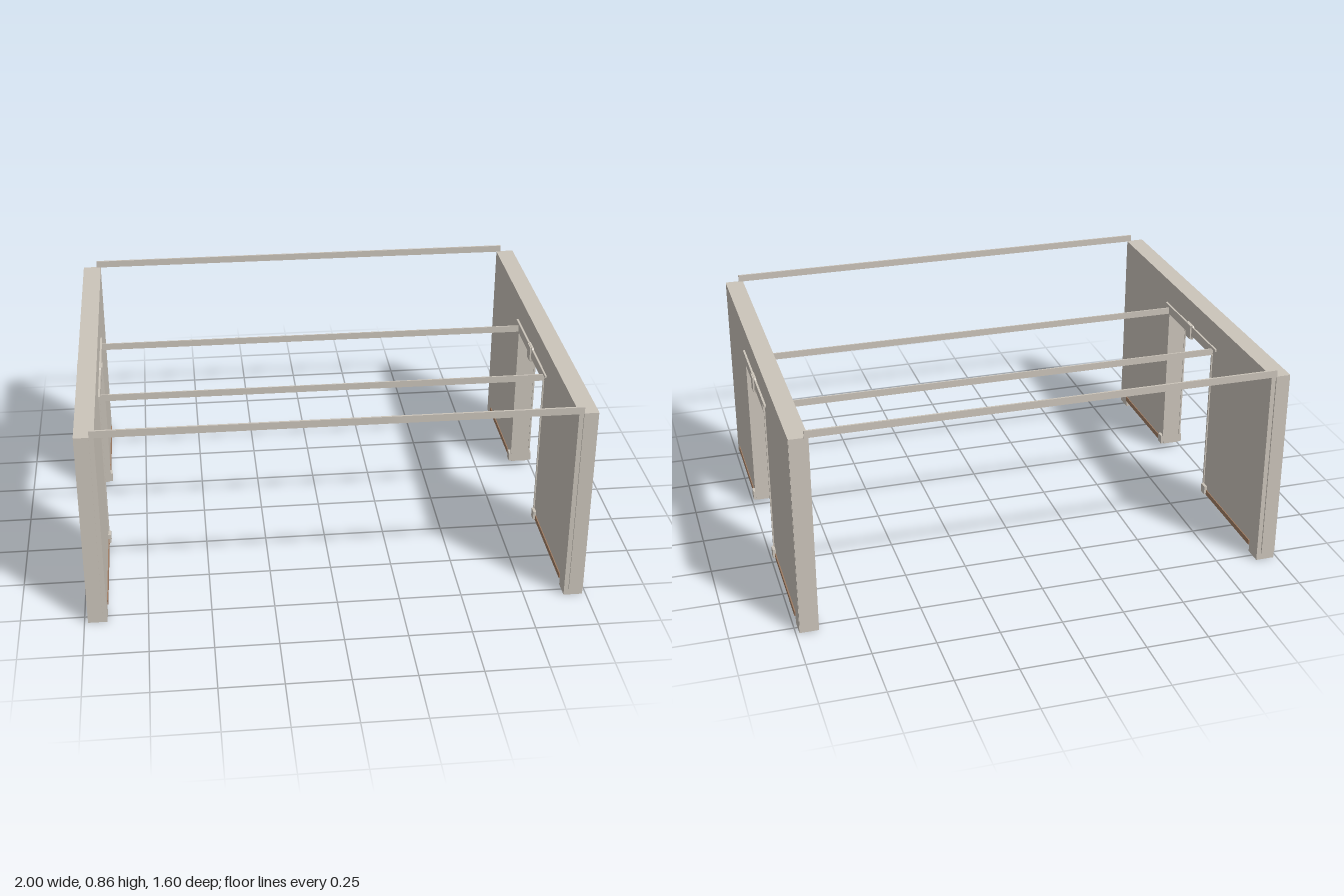
import * as THREE from 'three';

export function createModel() {
  const model = new THREE.Group();
  model.name = 'doorwayFrame';
  const plaster = new THREE.MeshStandardMaterial({ color: 0xcbc4ba });
  plaster.name = 'warm grey plaster';
  const wood = new THREE.MeshStandardMaterial({ color: 0xa17d63 });
  wood.name = 'brown wood';

  // Box given by its min and max on each axis
  function box(parent, name, x0, x1, y0, y1, z0, z1, material = plaster) {
    const mesh = new THREE.Mesh(new THREE.BoxGeometry(x1 - x0, y1 - y0, z1 - z0), material);
    mesh.position.set((x0 + x1) / 2, (y0 + y1) / 2, (z0 + z1) / 2);
    mesh.name = name;
    parent.add(mesh);
  }

  // Outline in (z, y), extruded through the thickness x0..x1
  function slab(parent, name, outline, x0, x1) {
    const shape = new THREE.Shape(outline.map(([z, y]) => new THREE.Vector2(-z, y)));
    const geometry = new THREE.ExtrudeGeometry(shape, { depth: x1 - x0, bevelEnabled: false });
    geometry.rotateY(Math.PI / 2);
    geometry.translate(x0, 0, 0);
    const mesh = new THREE.Mesh(geometry, plaster);
    mesh.name = name;
    parent.add(mesh);
  }

  // Complete a left-right symmetric outline from its positive half
  const mirrored = (half) => [...half, ...half.slice().reverse().map(([z, y]) => [-z, y])];

  const wallOutline = mirrored([
    [0.235, 0.685], [0.235, 0.03], [0.715, 0.03], [0.715, 0], [0.79, 0], [0.79, 0.83],
  ]);
  const lintelOutline = mirrored([
    [0.025, 0.667], [0.03, 0.685], [0.235, 0.685], [0.235, 0.715], [0.275, 0.715],
    [0.275, 0.725], [0.035, 0.725], [0.03, 0.731],
  ]);

  for (const side of [-1, 1]) {
    const wall = new THREE.Group();
    wall.name = side > 0 ? 'leftWall' : 'rightWall';
    wall.position.x = side * 0.948;
    model.add(wall);

    // Wall with doorway and corner feet
    slab(wall, 'wallPanel', wallOutline, -0.038, 0.038);

    for (const face of [-1, 1]) {
      const span = (out) => (face > 0 ? [0.036, out] : [-out, -0.036]);
      // Door head with keystone and cap
      slab(wall, 'doorHead', lintelOutline, ...span(0.046));
      box(wall, 'keystone', ...span(0.052), 0.669, 0.73, -0.024, 0.024);
      for (const end of [-1, 1]) {
        const z = (a, b) => (end > 0 ? [a, b] : [-b, -a]);
        box(wall, 'skirting', ...span(0.042), 0.03, 0.052, ...z(0.27, 0.715), wood);
        box(wall, 'plinthBlock', ...span(0.05), 0.032, 0.07, ...z(0.236, 0.271));
        box(wall, 'doorJambTrim', ...span(0.043), 0.07, 0.686, ...z(0.232, 0.24));
      }
    }

    // Thin trim on the wall ends
    for (const end of [-1, 1]) {
      const x = side > 0 ? [-0.02, 0.037] : [-0.037, 0.02];
      const z = end > 0 ? [0.789, 0.796] : [-0.796, -0.789];
      box(wall, 'endTrim', ...x, 0.03, 0.83, ...z);
    }
  }

  // Rails spanning between the walls
  for (const end of [-1, 1]) {
    box(model, 'topRail', -0.928, 0.928, 0.829, 0.858, end * 0.795 - 0.004, end * 0.795 + 0.004);
    box(model, 'doorRail', -0.91, 0.91, 0.685, 0.713, end * 0.235 - 0.003, end * 0.235 + 0.003);
  }
  return model;
}
